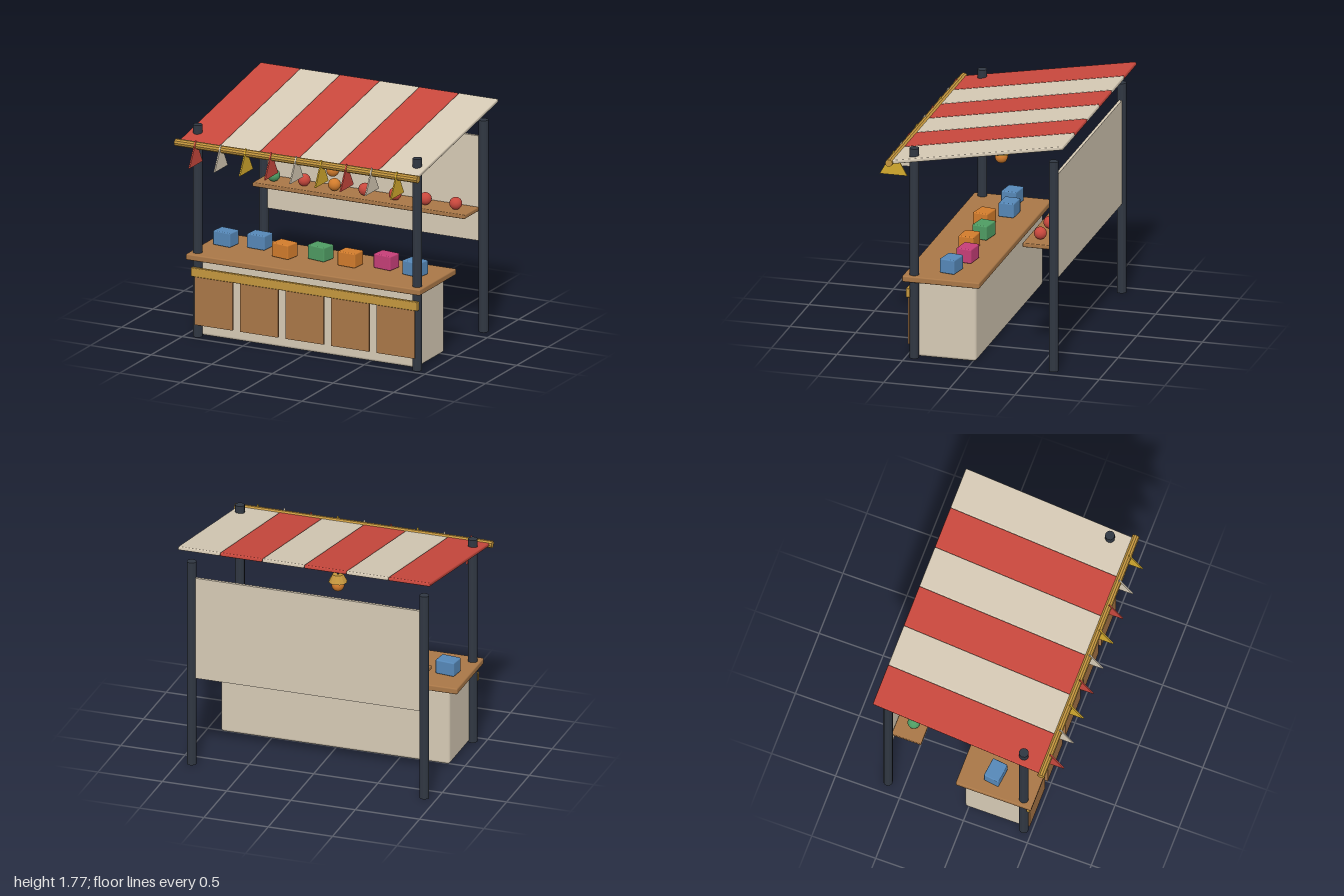
import * as THREE from 'three';
import { RoundedBoxGeometry } from 'three/addons/geometries/RoundedBoxGeometry.js';

export function createModel() {
  const model = new THREE.Group();
  model.name = 'marketStall';

  const mat = (name, color, extra = {}) => {
    const m = new THREE.MeshStandardMaterial({ color, ...extra });
    m.name = name;
    return m;
  };
  const red = mat('red', 0xc9483d);
  const cream = mat('cream', 0xd6cab5);
  const wood = mat('wood', 0xa97747);
  const dark = mat('darkMetal', 0x303742, { flatShading: true });
  const gold = mat('gold', 0xc5973e, { flatShading: true });
  const yellow = mat('yellow', 0xd4ab2e);
  const blue = mat('blue', 0x5688b8);
  const orange = mat('orange', 0xd27c2c);
  const green = mat('green', 0x4f9c63);
  const pink = mat('pink', 0xc63f78);

  const add = (name, geometry, material, x, y, z, parent = model) => {
    const mesh = new THREE.Mesh(geometry, material);
    mesh.name = name;
    mesh.position.set(x, y, z);
    parent.add(mesh);
    return mesh;
  };
  const group = (name) => {
    const g = new THREE.Group();
    g.name = name;
    model.add(g);
    return g;
  };
  const rounded = (w, h, d, r) => new RoundedBoxGeometry(w, h, d, 2, r);

  // Four corner posts
  const postGeo = new THREE.CylinderGeometry(0.036, 0.036, 1.628, 12);
  for (const x of [-0.905, 0.905]) {
    add('frontPost', postGeo, dark, x, 0.814, 0.437);
    add('backPost', postGeo, dark, x, 0.814, -0.625);
  }

  // Counter with worktop, trim rail and front panels
  add('counterBody', rounded(1.78, 0.59, 0.45, 0.022), cream, 0, 0.3, 0.195);
  add('worktop', rounded(1.93, 0.047, 0.59, 0.01), wood, 0, 0.622, 0.22);
  add('counterTrim', rounded(1.87, 0.07, 0.03, 0.007), gold, 0, 0.505, 0.48);
  const panels = group('counterPanels');
  const panelGeo = new THREE.BoxGeometry(0.312, 0.39, 0.02);
  for (let i = -2; i <= 2; i++) add('panel', panelGeo, wood, i * 0.375, 0.295, 0.475, panels);

  // Back wall and display shelf
  add('backWall', new THREE.BoxGeometry(1.8, 0.805, 0.022), cream, 0, 1.097, -0.625);
  add('shelf', rounded(1.75, 0.032, 0.23, 0.007), wood, 0, 0.941, -0.493);

  // Balls on the shelf
  const balls = group('balls');
  const ballGeo = new THREE.SphereGeometry(0.047, 20, 14);
  [green, red, orange, red, red, red, red].forEach((m, i) =>
    add('ball', ballGeo, m, (i - 3) * 0.25, 1.003, -0.48, balls));

  // Slightly turned boxes on the worktop: colour, x, z, turn
  const goods = group('goods');
  const goodsGeo = rounded(0.152, 0.11, 0.12, 0.009);
  [
    [blue, -0.805, 0.18, 0.12], [blue, -0.552, 0.13, 0.06], [orange, -0.288, 0.245, 0.18],
    [green, -0.027, 0.175, 0.18], [orange, 0.236, 0.21, 0.07], [pink, 0.5, 0.145, 0.14],
    [blue, 0.762, 0.195, 0.18],
  ].forEach(([m, x, z, turn]) => {
    add('goodsBox', goodsGeo, m, x, 0.703, z, goods).rotation.y = -turn;
  });

  // Striped sloping awning
  const awning = group('awning');
  awning.position.set(0, 1.642, -0.06);
  awning.rotation.x = Math.atan2(0.235, 1.31);
  const stripeGeo = rounded(0.324, 0.028, 1.335, 0.009);
  for (let i = 0; i < 6; i++) add('awningStripe', stripeGeo, i % 2 ? cream : red, (i - 2.5) * 0.327, 0, 0, awning);

  // Front pole carrying the bunting
  add('frontPole', new THREE.CylinderGeometry(0.028, 0.028, 2, 10), gold, 0, 1.524, 0.605).rotation.z = Math.PI / 2;

  // Triangular flags set across the pole
  const flags = group('bunting');
  const triangle = new THREE.Shape([
    new THREE.Vector2(-0.105, 0), new THREE.Vector2(0.105, 0), new THREE.Vector2(0, 0.187),
  ]);
  const flagGeo = new THREE.ExtrudeGeometry(triangle, { depth: 0.01, bevelEnabled: false });
  flagGeo.translate(0, 0, -0.005).rotateY(Math.PI / 2);
  for (let i = 0; i < 9; i++) add('flag', flagGeo, [red, cream, yellow][i % 3], (i - 4) * 0.2075, 1.378, 0.617, flags);

  // Hanging lamp
  const lamp = group('lamp');
  lamp.position.z = 0.033;
  add('lampCord', new THREE.CylinderGeometry(0.008, 0.008, 0.2, 8), dark, 0, 1.465, 0, lamp);
  add('lampShade', new THREE.CylinderGeometry(0.04, 0.07, 0.06, 12), gold, 0, 1.35, 0, lamp);
  add('lampBulb', new THREE.SphereGeometry(0.048, 20, 14), orange, 0, 1.293, 0, lamp);

  return model;
}
